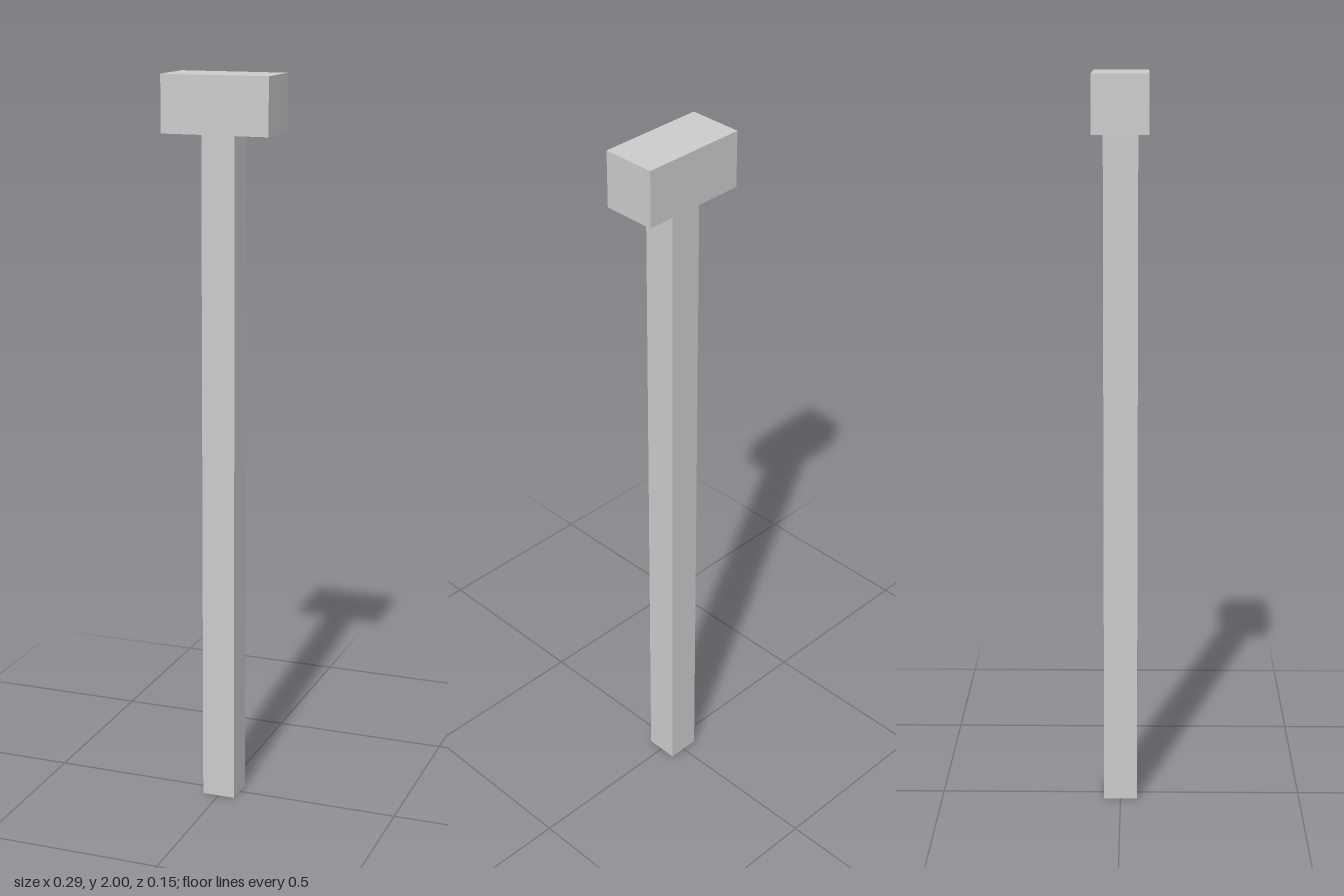
import * as THREE from 'three';

const HEAD = { width: 0.295, height: 0.152, depth: 0.148 };
const POST_WIDTH = 0.092;
const POST_HEIGHT = 2 - HEAD.height;

export function createModel() {
  const group = new THREE.Group();
  group.name = 'mallet';

  // Square hollow handle, open at the bottom: a four-sided tube turned to face the axes
  const handleGeometry = new THREE.CylinderGeometry(
    POST_WIDTH / Math.SQRT2, POST_WIDTH / Math.SQRT2, POST_HEIGHT, 4, 1, true);
  handleGeometry.rotateY(Math.PI / 4);
  const handle = new THREE.Mesh(handleGeometry, new THREE.MeshStandardMaterial({
    color: 0xcccccc, flatShading: true, side: THREE.DoubleSide }));
  handle.name = 'handle';
  handle.position.y = POST_HEIGHT / 2;
  group.add(handle);

  // Solid block head resting on the handle
  const head = new THREE.Mesh(
    new THREE.BoxGeometry(HEAD.width, HEAD.height, HEAD.depth),
    new THREE.MeshStandardMaterial({ color: 0xcccccc, flatShading: true }));
  head.name = 'head';
  head.position.y = POST_HEIGHT + HEAD.height / 2;
  group.add(head);

  return group;
}
